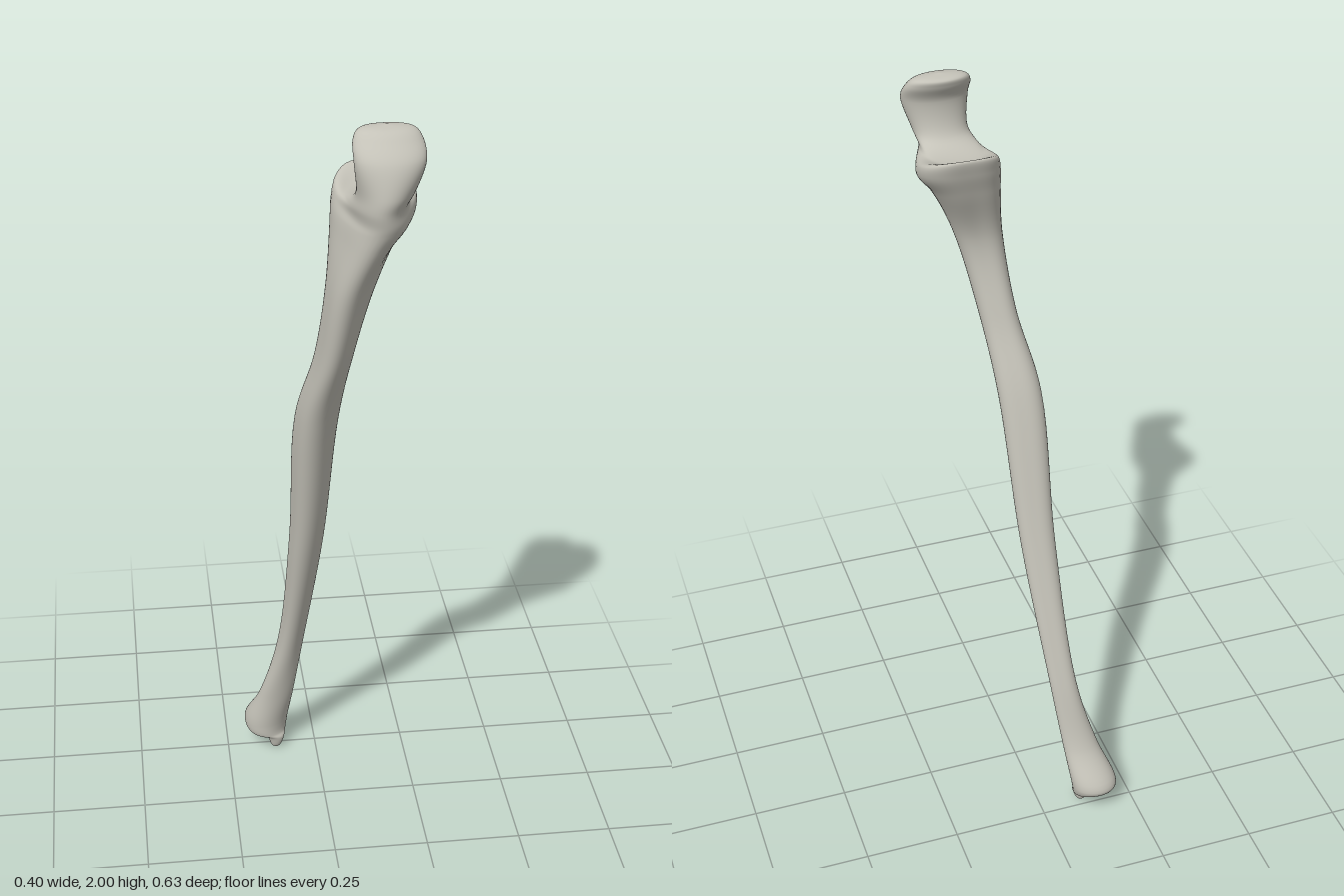
import * as THREE from 'three';

const SIDES = 48; // points round each cross-section
const STEPS = 8;  // loft steps between two sections

// Parts from bottom to top. lobe and apex (degrees from +x to +z) set how triangular the sections are.
// Each section: y, x min, x max, z min, z max, rise of its -z edge
const PARTS = [
  { name: 'styloidTip', lobe: 0, apex: 105, sections: [
    [.008, -.126, -.102, -.238, -.217],
    [.04, -.14, -.09, -.248, -.207],
  ] },
  { name: 'distalHead', lobe: .02, apex: 105, sections: [
    [.054, -.19, -.084, -.296, -.203, .01],
    [.09, -.2, -.078, -.312, -.2],
    [.2, -.16, -.065, -.247, -.184],
  ] },
  { name: 'shaft', lobe: .1, apex: 105, sections: [
    [.4, -.11, -.04, -.195, -.134],
    [.8, -.085, .004, -.092, -.008],
    [1.2, -.078, .03, -.002, .106],
    [1.4, -.037, .055, .07, .186],
    [1.6, -.015, .1, .104, .245],
  ] },
  { name: 'coronoidBeak', lobe: .1, apex: 90, sections: [
    [1.72, -.004, .158, .06, .285, .03],
    [1.765, 0, .195, .036, .3, .05],
    [1.785, .008, .196, .028, .306, .072],
  ] },
  { name: 'notchFloor', lobe: .04, apex: 90, sections: [
    [1.82, .028, .17, .085, .313, .003],
    [1.858, .042, .175, .18, .316, -.016],
  ] },
  { name: 'olecranon', lobe: 0, apex: 90, sections: [
    [1.93, .035, .198, .201, .298],
    [1.97, .036, .193, .181, .266, .004],
    [1.991, .05, .177, .178, .242],
  ] },
];

// Closed outline of one section: a three-lobed circle fitted to the section's box
function outline({ lobe, apex }, [y, x0, x1, z0, z1, rise = 0]) {
  const points = Array.from({ length: SIDES }, (_, i) => {
    const angle = (i / SIDES) * Math.PI * 2;
    const radius = 1 + lobe * Math.cos(3 * (angle - THREE.MathUtils.degToRad(apex)));
    return new THREE.Vector3(radius * Math.cos(angle), 0, radius * Math.sin(angle));
  });
  const { min, max } = new THREE.Box3().setFromPoints(points);
  return points.map(({ x, z }) => {
    const u = (x - min.x) / (max.x - min.x);
    const v = (z - min.z) / (max.z - min.z);
    return new THREE.Vector3(
      THREE.MathUtils.lerp(x0, x1, u), y + rise * (1 - v) ** 2, THREE.MathUtils.lerp(z0, z1, v));
  });
}

// Ring drawn together to its centre, to close an end at height y
function pole(ring, y) {
  const centre = new THREE.Box3().setFromPoints(ring).getCenter(new THREE.Vector3()).setY(y);
  return ring.map(() => centre);
}

// Triangles between two rows of the loft
function strip(from, to) {
  const index = [];
  for (let r = from; r < to; r++) {
    for (let i = 0; i < SIDES; i++) {
      const a = r * SIDES + i, b = r * SIDES + (i + 1) % SIDES;
      index.push(a, a + SIDES, b, b, a + SIDES, b + SIDES);
    }
  }
  return index;
}

// Lofted surface with shared vertices, so the normals stay smooth all over
function loft(rings) {
  const rows = (rings.length - 1) * STEPS;
  const columns = Array.from({ length: SIDES }, (_, i) =>
    new THREE.CatmullRomCurve3(rings.map((ring) => ring[i])));
  const positions = [];
  for (let r = 0; r <= rows; r++) {
    for (const column of columns) positions.push(...column.getPoint(r / rows).toArray());
  }
  const geometry = new THREE.BufferGeometry();
  geometry.setAttribute('position', new THREE.Float32BufferAttribute(positions, 3));
  geometry.setIndex(strip(0, rows));
  geometry.computeVertexNormals();
  return geometry;
}

export function createModel() {
  const group = new THREE.Group();
  group.name = 'forearmBone';
  const bone = new THREE.MeshStandardMaterial({ color: 0xc4c2b8 });
  bone.name = 'bone';

  const rings = PARTS.flatMap((part) => part.sections.map((section) => outline(part, section)));
  const surface = loft([pole(rings[0], 0), ...rings, pole(rings.at(-1), 2)]);

  // Each part is a run of rows on the same smooth surface
  let row = 0;
  PARTS.forEach(({ name, sections }, i) => {
    const spans = sections.length + (i === PARTS.length - 1 ? 1 : 0);
    const geometry = surface.clone();
    geometry.setIndex(strip(row, row + spans * STEPS));
    row += spans * STEPS;
    const mesh = new THREE.Mesh(geometry, bone);
    mesh.name = name;
    group.add(mesh);
  });
  return group;
}
